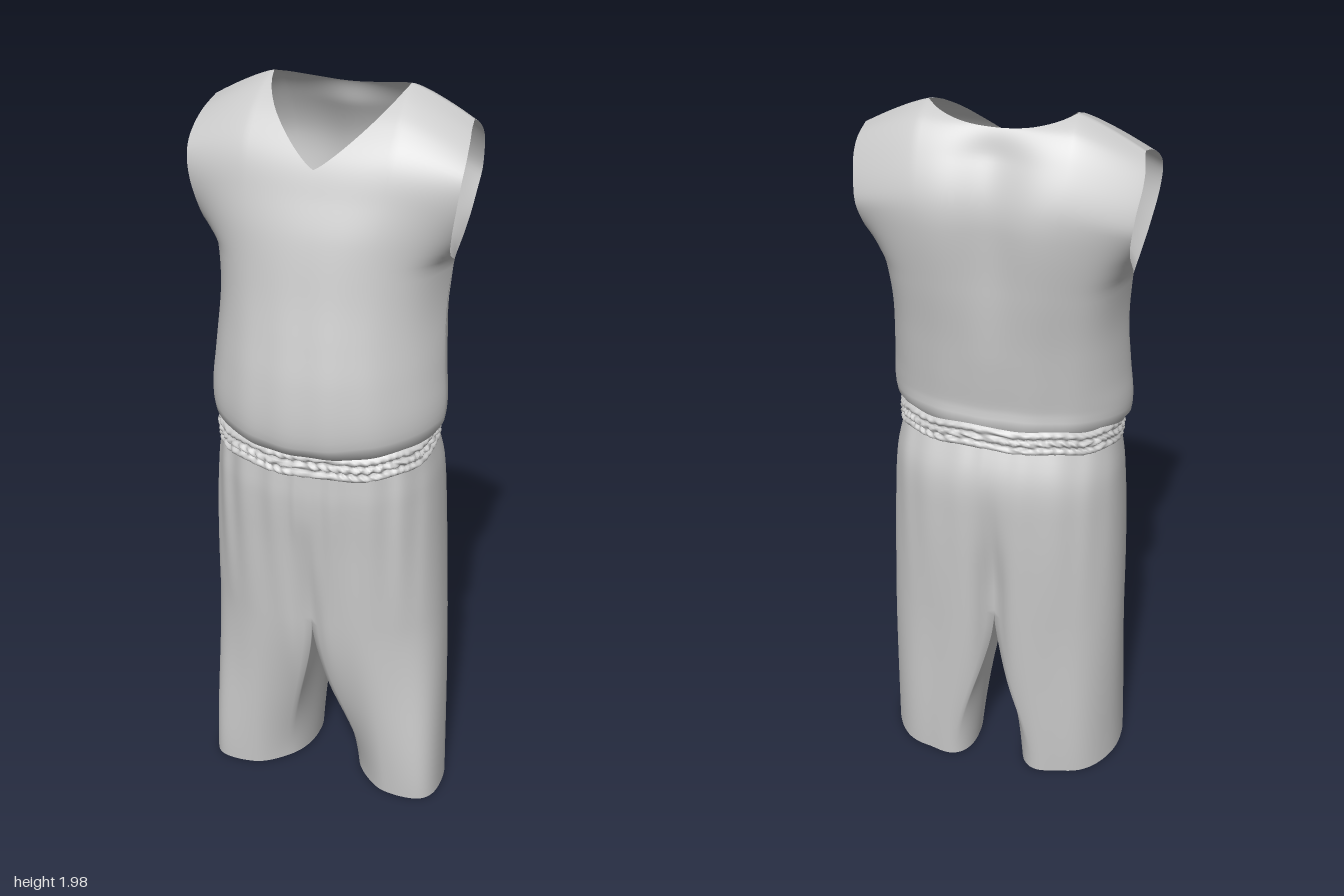
import * as THREE from 'three';
import { mergeGeometries, mergeVertices } from 'three/addons/utils/BufferGeometryUtils.js';

const { lerp, smoothstep, clamp, degToRad } = THREE.MathUtils;
const cloth = new THREE.MeshStandardMaterial({ color: 0xcccccc, side: THREE.DoubleSide });

// Smooth curve through [position, value] pairs
function curve(p) {
  const slope = (i) => {
    const a = p[Math.max(i - 1, 0)], b = p[Math.min(i + 1, p.length - 1)];
    return (b[1] - a[1]) / (b[0] - a[0]);
  };
  return (t) => {
    t = clamp(t, p[0][0], p[p.length - 1][0]);
    let i = 0;
    while (i < p.length - 2 && t > p[i + 1][0]) i++;
    const d = p[i + 1][0] - p[i][0], k = (t - p[i][0]) / d, k2 = k * k, k3 = k2 * k;
    return (2 * k3 - 3 * k2 + 1) * p[i][1] + (k3 - 2 * k2 + k) * d * slope(i)
      + (3 * k2 - 2 * k3) * p[i + 1][1] + (k3 - k2) * d * slope(i + 1);
  };
}

// Sheet of cloth: u runs to the right and v upwards, seen from outside
function sheet(nu, nv, at) {
  const pos = [], index = [];
  for (let j = 0; j <= nv; j++)
    for (let i = 0; i <= nu; i++) pos.push(...at(i / nu, j / nv));
  for (let j = 0; j < nv; j++)
    for (let i = 0; i < nu; i++) {
      const a = j * (nu + 1) + i, b = a + nu + 1;
      index.push(a, a + 1, b, a + 1, b + 1, b);
    }
  const g = new THREE.BufferGeometry();
  g.setAttribute('position', new THREE.Float32BufferAttribute(pos, 3));
  g.setIndex(index);
  return g;
}

// Sew sheets together along their shared edges
function sew(name, sheets) {
  const g = mergeVertices(mergeGeometries(sheets), 1e-4);
  g.computeVertexNormals();
  const mesh = new THREE.Mesh(g, cloth);
  mesh.name = name;
  return mesh;
}

// ---- Sleeveless top ----
const NECK = Math.sin((Math.PI / 2) * (17 / 48)); // shoulder end of the neckline
const halfWidth = curve([[1.12, 0.298], [1.14, 0.312], [1.2, 0.317], [1.3, 0.31], [1.45, 0.303],
  [1.58, 0.312], [1.7, 0.33], [1.8, 0.345], [1.9, 0.353], [1.96, 0.348], [2, 0.336]]);
const frontMid = curve([[1.12, 0.222], [1.14, 0.245], [1.2, 0.255], [1.3, 0.245], [1.4, 0.225], [1.5, 0.203],
  [1.66, 0.17], [1.75, 0.14], [1.85, 0.1], [1.93, 0.035], [1.97, -0.02], [1.99, -0.062], [2, -0.095]]);
const backMid = curve([[1.12, -0.185], [1.14, -0.195], [1.2, -0.19], [1.4, -0.212], [1.58, -0.242],
  [1.74, -0.262], [1.82, -0.253], [1.91, -0.212], [1.97, -0.167], [1.99, -0.13], [2, -0.095]]);
// seam and armhole rim, and the smooth body lines the panels follow beside them
const frontRim = curve([[1.12, 0.02], [1.35, 0], [1.58, -0.04], [1.615, 0.01], [1.67, 0.045], [1.78, 0.068],
  [1.87, 0.06], [1.93, 0.02], [1.98, -0.045], [2, -0.095]]);
const backRim = curve([[1.12, 0.02], [1.35, 0], [1.58, -0.04], [1.64, -0.1], [1.71, -0.165], [1.79, -0.2],
  [1.85, -0.195], [1.92, -0.165], [1.98, -0.125], [2, -0.095]]);
const frontSide = curve([[1.12, 0.02], [1.35, 0.015], [1.58, 0.03], [1.78, 0.068],
  [1.87, 0.06], [1.93, 0.02], [1.98, -0.045], [2, -0.095]]);
const backSide = curve([[1.12, 0.02], [1.35, -0.04], [1.58, -0.13], [1.79, -0.2],
  [1.85, -0.195], [1.92, -0.165], [1.98, -0.125], [2, -0.095]]);

function topPanel(front) {
  return sheet(96, 56, (u, v) => {
    const s = Math.sin((Math.PI / 2) * (2 * u - 1)) * (front ? 1 : -1);
    const a = Math.min(Math.abs(s), 1);
    // neckline: a V at the front, a shallow scoop at the back
    const n = Math.min(a / NECK, 1);
    const hTop = front ? lerp(1.825, 2, n ** 1.2) : lerp(1.972, 2, n * n);
    const h = lerp(1.12, hTop, 1 - Math.pow(1 - v, 1.5));
    const side = (front ? frontSide : backSide)(h), mid = (front ? frontMid : backMid)(h);
    const full = front ? lerp(0.64, 0.95, smoothstep(h, 1.18, 1.75)) : lerp(0.52, 0.95, smoothstep(h, 1.35, 1.85));
    const bulge = Math.pow(Math.max(1 - Math.pow(a, 2.3), 0), full);
    let z = lerp(side, mid, bulge) + ((front ? frontRim : backRim)(h) - side) * a ** 12;
    // hollow along the spine
    if (!front) z += 0.03 * Math.exp(-((s / 0.25) ** 2)) * smoothstep(h, 1.35, 1.75) * (1 - smoothstep(h, 1.9, 2));
    // soft drape over the belly
    z += 0.0015 * Math.sin(s * 17 + h * 3) * bulge * (1 - smoothstep(h, 1.2, 1.7));
    // shoulder slope and tilted hem
    const shoulder = lerp(1.995, 1.922, clamp((a - NECK) / (1 - NECK), 0, 1) ** 1.25);
    const hem = 1 - smoothstep(h, 1.12, 1.32);
    const y = h < 1.58 ? h : 1.58 + (h - 1.58) * (shoulder - 1.58) / 0.42;
    // the back of the armhole sits slightly further in
    const inset = front ? 0 : 0.035 * smoothstep(h, 1.6, 1.78) * (1 - smoothstep(h, 1.85, 2));
    const x = s * halfWidth(h) * (1 - inset) - 0.004 * smoothstep(h, 1.3, 1.8);
    return [x, y + (0.018 - 0.15 * z) * hem, z];
  });
}

// ---- Shorts ----
const JOIN = 0.58, SADDLE = 0.48, HEM = 0.012, WAIST = 1.085, INNER = 0.07;
const outerX = curve([[0, 0.338], [0.5, 0.326], [0.8, 0.316], [1, 0.303], [1.09, 0.288]]);
const frontZ = curve([[0, 0.138], [0.3, 0.166], [0.5, 0.185], [0.8, 0.206], [1, 0.218], [1.09, 0.215]]);
const backZ = curve([[0, -0.168], [0.3, -0.194], [0.6, -0.22], [0.9, -0.238], [1, -0.235], [1.09, -0.2]]);
const soft = (c) => Math.sign(c) * Math.pow(Math.abs(c), 0.85);

// Centre crease, gathers and tilted waist
function drape(x, y, z) {
  const cz = (frontZ(y) + backZ(y)) / 2;
  const depth = z > cz ? 0.14 * (1 - smoothstep(y, 0.55, 0.95)) : 0.2 * (1 - smoothstep(y, 0.65, 1.06));
  z = cz + (z - cz) * (1 - depth * Math.exp(-((x / 0.035) ** 2)));
  const gather = smoothstep(y, 0.5, 0.98) * (z > 0 ? 0.004 : 0.0015);
  z += gather * Math.sin(x * 85 + Math.sin(x * 23)) * Math.sign(z) * smoothstep(Math.abs(z), 0.02, 0.12);
  z += 0.003 * Math.sin(x * 40 + y * 2) * (1 - smoothstep(y, 0.3, 0.9)) * smoothstep(Math.abs(z), 0.02, 0.1);
  return [x, y - 0.18 * z * smoothstep(y, 0.8, WAIST), z];
}

// Point on the round leg, angle from the front towards the outside;
// the outer side swings forward and the inner side back
function legPoint(angle, y) {
  const xo = outerX(y), f = frontZ(y), b = backZ(y);
  return [(xo + INNER) / 2 + (xo - INNER) / 2 * soft(Math.sin(angle)),
    (f + b) / 2 + 0.95 * (f - b) / 2 * soft(Math.cos(angle)) + 0.05 * Math.sin(angle)];
}

function outerLeg(u, y) {
  const w = 1 - smoothstep(y, HEM, JOIN);
  const f = frontZ(y), b = backZ(y), t = Math.PI * u;
  const hipX = outerX(y) * soft(Math.sin(t)), hipZ = (f + b) / 2 + (f - b) / 2 * soft(Math.cos(t));
  const [lx, lz] = legPoint(degToRad(lerp(-40, 220, u)), y);
  return drape(lerp(hipX, lx, w), y, lerp(hipZ, lz, w));
}

// Inner leg hangs from the rounded crotch saddle, back to front
function innerLeg(u, r) {
  const rim = (2 * u - 1) ** 2;
  const y = lerp(HEM, lerp(SADDLE, JOIN, rim), r);
  const w = lerp(Math.pow(1 - r, 0.6), 1 - smoothstep(r, 0, 1), rim);
  const [lx, lz] = legPoint(degToRad(lerp(220, 320, u)), y);
  return drape(lerp(0, lx, w), y, lerp(lerp(backZ(y), frontZ(y), u), lz, w));
}

function legSheets(side) {
  const place = (fn) => (u, v) => {
    const [x, y, z] = fn(side > 0 ? u : 1 - u, v);
    return [side * x + 0.013 * (1 - smoothstep(y, 0, 0.9)), y, z];
  };
  return [
    sheet(90, 24, place((u, v) => outerLeg(u, lerp(JOIN, WAIST, v)))),
    sheet(90, 30, place((u, v) => outerLeg(u, lerp(HEM, JOIN, v)))),
    sheet(30, 30, place(innerLeg)),
  ];
}

// ---- Gathered elastic waistband ----
function waistband() {
  return sheet(300, 18, (u, v) => {
    const t = 2 * Math.PI * u;
    const roll = 0.009 * Math.abs(Math.sin(3 * Math.PI * v));
    const pucker = 0.0035 * Math.sin(t * 55 + 3 * Math.sin(v * 9 + 4 * Math.sin(t * 3))) * Math.sin(Math.PI * v);
    const r = roll + pucker;
    const z = 0.007 + (0.205 + r) * soft(Math.cos(t));
    const wave = 0.003 * Math.sin(t * 9);
    return [(0.286 + r) * soft(Math.sin(t)), 1.078 + wave + 0.07 * v - 0.18 * z, z];
  });
}

export function createModel() {
  const model = new THREE.Group();
  model.name = 'sleevelessTopAndShorts';
  model.add(
    sew('sleevelessTop', [topPanel(true), topPanel(false)]),
    sew('waistband', [waistband()]),
    sew('shorts', [...legSheets(1), ...legSheets(-1)]),
  );
  return model;
}
